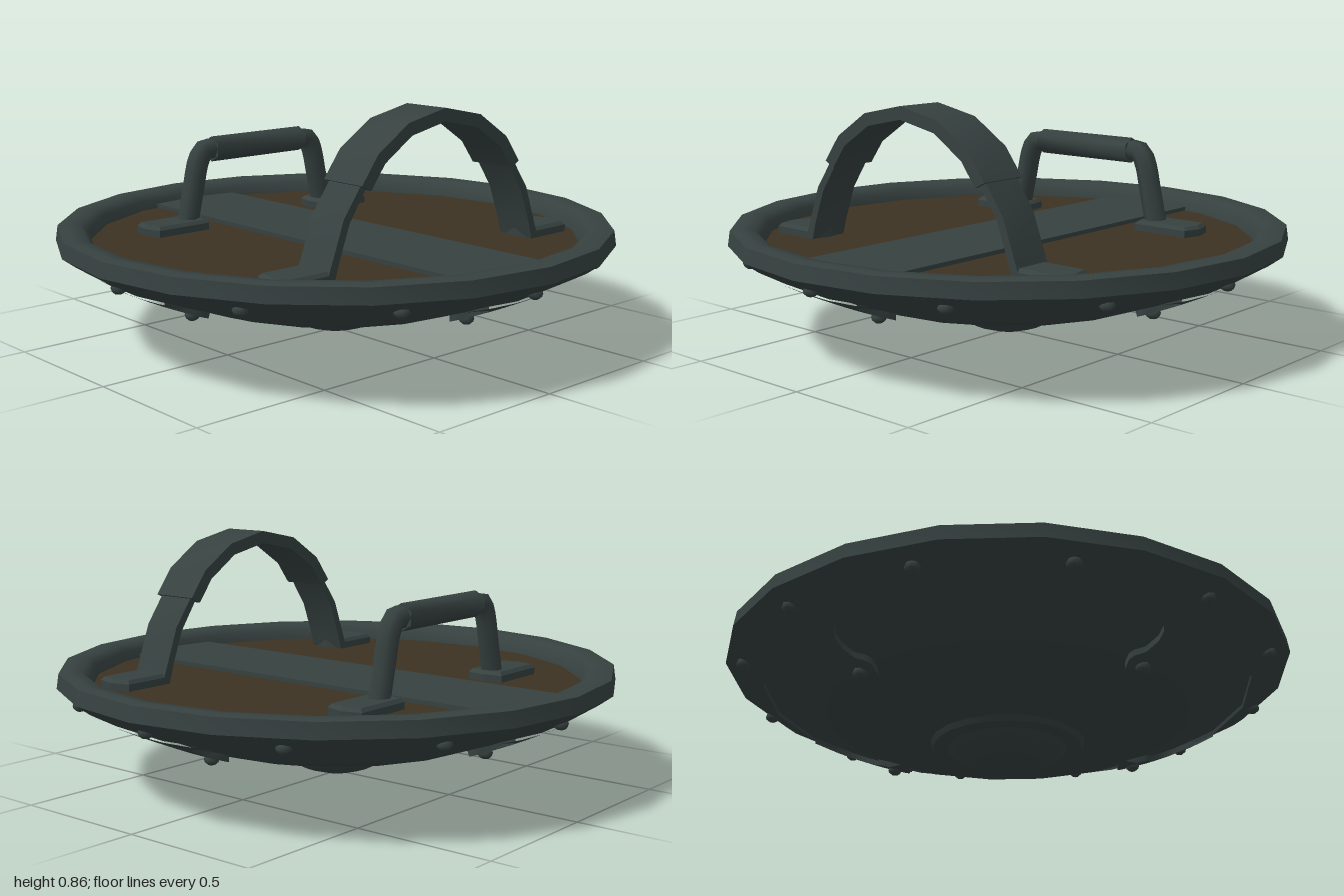
import * as THREE from 'three';
import { toCreasedNormals } from 'three/addons/utils/BufferGeometryUtils.js';

const SIDES = 20;
const shellY = (r) => 0.07 + 0.29 * r * r; // underside of the domed face

export function createModel() {
  const metal = new THREE.MeshStandardMaterial({ name: 'dark metal', color: 0x364140 });
  const wood = new THREE.MeshStandardMaterial({ name: 'brown wood', color: 0x3c3222 });
  const shield = new THREE.Group();
  shield.name = 'roundShield';

  const add = (name, geometry, material = metal, parent = shield, crease = 0.6) => {
    const mesh = new THREE.Mesh(toCreasedNormals(geometry, crease), material);
    mesh.name = name;
    parent.add(mesh);
    return mesh;
  };
  const lathe = (points) =>
    new THREE.LatheGeometry(points.map(([r, y]) => new THREE.Vector2(r, y)), SIDES);

  // Domed face, rim with riveted border, centre boss
  add('face', lathe([0, 0.2, 0.4, 0.55, 0.7, 0.82, 0.94].map((r) => [r, shellY(r)])));
  add('rim', lathe([
    [0.855, 0.295], [0.86, 0.272], [0.95, 0.32], [0.998, 0.355], [0.99, 0.408],
    [0.955, 0.413], [0.91, 0.408], [0.885, 0.385], [0.875, 0.34],
  ]), metal, shield, 0.9);
  add('boss', lathe([
    [0, 0], [0.07, 0.007], [0.13, 0.026], [0.18, 0.052], [0.205, 0.076],
    [0.21, 0.072], [0.26, 0.076], [0.275, 0.1],
  ]));

  // Wooden back with a cross plate
  const back = new THREE.CircleGeometry(0.91, SIDES);
  back.rotateX(-Math.PI / 2);
  back.translate(0, 0.35, 0);
  add('woodenBack', back, wood);
  const plate = new THREE.BoxGeometry(1.76, 0.02, 0.38);
  plate.translate(0, 0.355, 0);
  add('crossPlate', plate);

  // Rivets around the border and on the prongs
  const addRivet = (angle, r, y) => {
    const g = new THREE.SphereGeometry(0.026, 8, 6);
    g.scale(1, 0.8, 1);
    g.translate(Math.sin(angle) * r, y, Math.cos(angle) * r);
    add('rivet', g, metal, shield, 1.2);
  };
  for (let i = 0; i < 12; i++) addRivet(i * Math.PI / 6, 0.93, 0.312);

  // Four leaf-tipped prongs running inward from the border: [radius, half width]
  const rows = [
    [0.575, 0.008], [0.615, 0.05], [0.65, 0.068], [0.67, 0.064], [0.7, 0.04],
    [0.75, 0.036], [0.785, 0.05], [0.815, 0.085], [0.84, 0.15], [0.86, 0.24],
  ];
  const cols = [-1, -1, -0.5, 0, 0.5, 1, 1];
  const makeProng = () => {
    const pos = [], index = [], n = cols.length;
    rows.forEach(([r, w], i) => cols.forEach((u, j) => {
      const edge = j === 0 || j === n - 1 || i === 0;
      const x = u * w;
      const z = Math.min(r, Math.sqrt(0.88 * 0.88 - x * x));
      pos.push(x, shellY(Math.hypot(x, z)) + (edge ? 0.01 : -0.018), z);
      if (i < rows.length - 1 && j < n - 1) {
        const a = i * n + j;
        index.push(a, a + 1, a + n, a + 1, a + n + 1, a + n);
      }
    }));
    const g = new THREE.BufferGeometry();
    g.setAttribute('position', new THREE.Float32BufferAttribute(pos, 3));
    g.setIndex(index);
    return g;
  };
  for (let i = 0; i < 4; i++) {
    const angle = i * Math.PI / 2;
    add('prong', makeProng().rotateY(angle));
    addRivet(angle, 0.645, shellY(0.645) - 0.02);
  }

  // Foot plate with pointed ends, lying between two z positions
  const addFoot = (parent, z0, z1, half) => {
    const s = new THREE.Shape([
      [-half, -z0 - 0.015], [0, -z0], [half, -z0 - 0.015],
      [half, -z1 + 0.02], [0, -z1], [-half, -z1 + 0.02],
    ].map(([x, y]) => new THREE.Vector2(x, y)).reverse());
    const g = new THREE.ExtrudeGeometry(s, {
      depth: 0.025, bevelEnabled: true, bevelSegments: 1,
      bevelSize: 0.012, bevelThickness: 0.012, bevelOffset: -0.012,
    });
    g.rotateX(-Math.PI / 2);
    g.translate(0, 0.35, 0);
    add('foot', g, metal, parent, 0.3);
  };
  // Bent bar: (z, y) outline extruded across x
  const addBent = (name, parent, outline, width) => {
    const s = new THREE.Shape(outline.map(([z, y]) => new THREE.Vector2(z, y)));
    const g = new THREE.ExtrudeGeometry(s, { depth: width, bevelEnabled: false });
    g.translate(0, 0, -width / 2);
    g.rotateY(-Math.PI / 2);
    add(name, g, metal, parent, 0.5);
  };

  // Hand grip
  const grip = new THREE.Group();
  grip.name = 'handGrip';
  grip.position.x = -0.45;
  shield.add(grip);
  const bar = new THREE.CylinderGeometry(0.047, 0.047, 0.43, 6);
  bar.rotateX(Math.PI / 2);
  bar.translate(0, 0.635, 0);
  add('gripBar', bar, metal, grip, 1.2);
  for (const turn of [0, Math.PI]) {
    const side = new THREE.Group();
    side.name = 'gripSide';
    side.rotation.y = turn;
    grip.add(side);
    addFoot(side, 0.27, 0.525, 0.07);
    const path = new THREE.CatmullRomCurve3([
      [0.335, 0.35], [0.305, 0.48], [0.275, 0.6], [0.25, 0.634], [0.19, 0.637],
    ].map(([z, y]) => new THREE.Vector3(0, y, z)));
    add('gripLeg', new THREE.TubeGeometry(path, 12, 0.04, 6), metal, side, 1.2);
  }

  // Arm strap with a thicker pad over the top
  const strap = new THREE.Group();
  strap.name = 'armStrap';
  strap.position.x = 0.448;
  shield.add(strap);
  const mirror = (half) => [...half, ...half.slice(0, -1).reverse().map(([z, y]) => [-z, y])];
  const outer = mirror([[0.375, 0.645], [0.305, 0.738], [0.17, 0.825], [0, 0.86]]);
  const inner = mirror([[0.335, 0.625], [0.275, 0.705], [0.155, 0.783], [0, 0.815]]);
  addBent('strapPad', strap, [...outer, ...inner.reverse()], 0.178);
  for (const turn of [0, Math.PI]) {
    const side = new THREE.Group();
    side.name = 'strapSide';
    side.rotation.y = turn;
    strap.add(side);
    addBent('strapLeg', side, [
      [0.51, 0.35], [0.487, 0.41], [0.437, 0.545], [0.35, 0.665],
      [0.33, 0.65], [0.412, 0.53], [0.457, 0.41], [0.475, 0.35],
    ], 0.146);
    addFoot(side, 0.465, 0.685, 0.073);
  }

  return shield;
}
